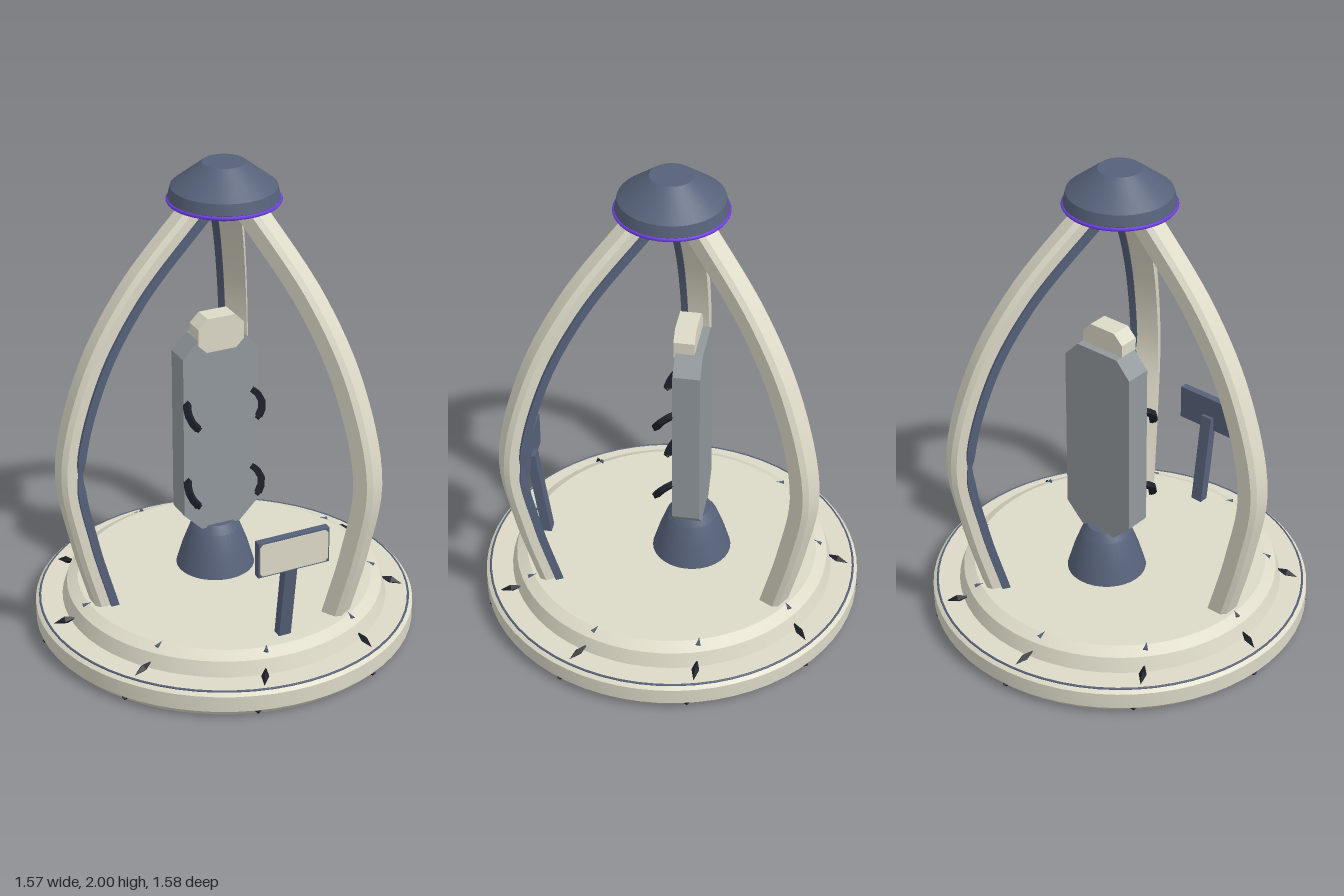
import * as THREE from 'three';
import { toCreasedNormals } from 'three/addons/utils/BufferGeometryUtils.js';

const paint = (name, color) => Object.assign(new THREE.MeshStandardMaterial({ color }), { name });

const V2 = (p) => new THREE.Vector2(p[0], p[1]);

// Turned part with sharp edges
function turned(profile, segments) {
  return toCreasedNormals(new THREE.LatheGeometry(profile.map(V2), segments), 0.3);
}

// Plate whose outline is mirrored in x, from z0 to z1
function symmetricPlate(half, z0, z1) {
  const outline = [...half, ...half.map(([x, y]) => [-x, y]).reverse()];
  const geo = new THREE.ExtrudeGeometry(new THREE.Shape(outline.map(V2)), { depth: z1 - z0, bevelEnabled: false });
  return geo.translate(0, 0, z0);
}

// Sweep a section of [outward, sideways] points along a curve in the xy plane
function sweep(curve, section, steps, scaleAt = () => 1) {
  const pos = [], index = [], n = section.length;
  const cx = section.reduce((s, p) => s + p[0], 0) / n;
  const cz = section.reduce((s, p) => s + p[1], 0) / n;
  for (let i = 0; i <= steps; i++) {
    const p = curve.getPointAt(i / steps), t = curve.getTangentAt(i / steps), s = scaleAt(p.y);
    for (const [a, w] of section) {
      const out = cx + (a - cx) * s;
      pos.push(p.x + t.y * out, p.y - t.x * out, cz + (w - cz) * s);
    }
  }
  for (let i = 0; i < steps; i++) {
    for (let j = 0; j < n; j++) {
      const a = i * n + j, b = i * n + (j + 1) % n;
      index.push(a, b, a + n, b, b + n, a + n);
    }
  }
  for (let j = 1; j < n - 1; j++) {
    const e = steps * n;
    index.push(0, j + 1, j, e, e + j, e + j + 1);
  }
  const geo = new THREE.BufferGeometry();
  geo.setAttribute('position', new THREE.Float32BufferAttribute(pos, 3));
  geo.setIndex(index);
  return toCreasedNormals(geo, 0.4);
}

export function createModel() {
  const cream = paint('cream', 0xdcd9c7);
  const navy = paint('navy', 0x566179);
  const grey = paint('grey', 0x91989c);
  const black = paint('black', 0x1c1f28);
  const purple = paint('purple', 0x7440f0);

  const model = new THREE.Group();
  const add = (name, geo, mat, parent = model) => {
    const mesh = new THREE.Mesh(geo, mat);
    mesh.name = name;
    parent.add(mesh);
    return mesh;
  };
  const group = (name, angle = 0) => {
    const g = new THREE.Group();
    g.name = name;
    g.rotation.y = angle;
    model.add(g);
    return g;
  };
  const ring = (r, tube, y) => new THREE.TorusGeometry(r, tube, 6, 64).rotateX(Math.PI / 2).translate(0, y, 0);

  // Stepped round base
  add('base', turned([[0, 0], [0.76, 0], [0.787, 0.03], [0.787, 0.098], [0.767, 0.113], [0.675, 0.115],
    [0.655, 0.175], [0.61, 0.2], [0, 0.2]], 64), cream);
  add('baseLine', ring(0.768, 0.005, 0.111), navy);

  // Claws around the base: pointed fin, inner stud and rim stud
  const finGeo = new THREE.OctahedronGeometry(1).scale(0.05, 0.018, 0.016);
  const studGeo = new THREE.ConeGeometry(0.011, 0.036, 4).rotateZ(Math.PI / 2);
  const rimGeo = new THREE.OctahedronGeometry(0.016);
  for (let i = 0; i < 9; i++) {
    const claw = group('baseClaw', -THREE.MathUtils.degToRad(22.5 + 40 * i));
    const fin = add('fin', finGeo, black, claw);
    fin.position.set(0.702, 0.126, 0);
    fin.rotation.set(0, -0.3, -0.25);
    const stud = add('innerStud', studGeo, navy, claw);
    stud.position.set(0.615, 0.196, -0.025);
    stud.rotation.set(0, -0.3, -0.4);
    add('rimStud', rimGeo, black, claw).position.set(0.774, 0.022, 0.045);
  }

  // Three bowed arms with an inner edge strip
  const bow = new THREE.CatmullRomCurve3([[0.547, 0.185], [0.63, 0.5], [0.68, 0.83], [0.58, 1.218],
    [0.404, 1.525], [0.158, 1.8], [0.11, 1.85]].map(([x, y]) => new THREE.Vector3(x, y, 0)));
  const armGeo = sweep(bow, [[-0.04, -0.052], [-0.04, 0.052], [0.022, 0.052], [0.04, 0.034],
    [0.04, -0.034], [0.022, -0.052]], 32);
  const stripGeo = sweep(bow, [[-0.048, -0.066], [-0.048, -0.038], [-0.015, -0.038], [-0.015, -0.066]], 48,
    (y) => 1 - 0.5 * Math.exp(-(((y - 0.82) / 0.04) ** 2)));
  for (const angle of [Math.PI, Math.PI / 3, -Math.PI / 3]) {
    const arm = group('arm', angle);
    add('armBeam', armGeo, cream, arm);
    add('armStrip', stripGeo, navy, arm);
  }

  // Cap joining the arms
  add('cap', turned([[0, 1.815], [0.15, 1.815], [0.212, 1.85], [0.218, 1.86], [0.208, 1.905], [0.085, 2], [0, 2]], 40), navy);
  add('capGlowRing', ring(0.217, 0.008, 1.852), purple);

  // Pedestal
  add('pedestal', turned([[0, 0.195], [0.165, 0.195], [0.137, 0.29], [0.105, 0.375], [0.08, 0.41], [0, 0.41]], 32)
    .translate(0, 0, -0.085), navy);

  // Upright couch and headrest
  add('backBoard', symmetricPlate([[0.085, 0.4], [0.165, 0.48], [0.165, 1.185], [0.1, 1.255]], -0.14, -0.03), grey);
  add('headrest', symmetricPlate([[0.065, 1.2], [0.1, 1.235], [0.1, 1.305], [0.06, 1.345]], -0.107, -0.023), cream);

  // Angular hooked restraints
  const tipGeo = new THREE.OctahedronGeometry(0.017);
  for (const side of [-1, 1]) {
    for (const y of [0.95, 0.6]) {
      const path = new THREE.CatmullRomCurve3([[0.146, 0.04, -0.038], [0.162, 0.018, 0.005],
        [0.157, -0.012, 0.028], [0.134, -0.044, 0.042]].map(([x, dy, z]) => new THREE.Vector3(side * x, y + dy, z)));
      add('restraint', toCreasedNormals(new THREE.TubeGeometry(path, 4, 0.017, 4), 0.5), black);
      for (const t of [0, 1]) add('restraintEnd', tipGeo, black).position.copy(path.getPoint(t));
    }
  }

  // Control stand with a light screen
  const post = add('standPost', new THREE.BoxGeometry(0.052, 0.42, 0.04), navy);
  post.position.set(0, 0.39, 0.562);
  post.rotation.x = 0.14;
  add('standPanel', new THREE.BoxGeometry(0.306, 0.15, 0.032), navy).position.set(0, 0.61, 0.606);
  const w = 0.147, h = 0.069, c = 0.012;
  add('standScreen', symmetricPlate([[w - c, -h], [w, c - h], [w, h - c], [w - c, h]], 0, 0.005), cream)
    .position.set(0, 0.61, 0.62);

  return model;
}
